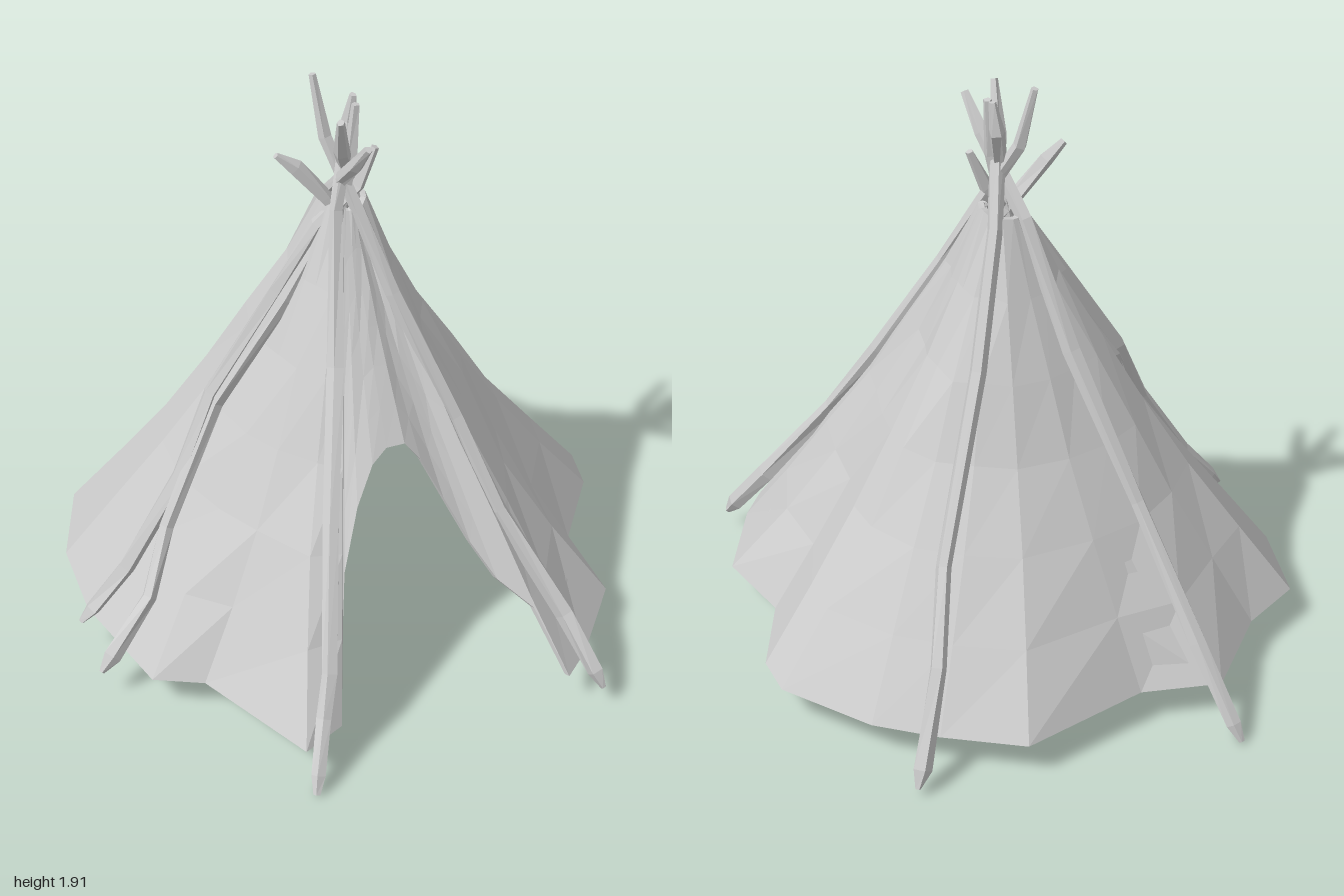
import * as THREE from 'three';

const V = (p) => new THREE.Vector3(...p);
// small repeatable variation in -1..1
const vary = (n) => { const s = Math.sin(n * 127.1 + 3.7) * 4375.85; return (s - Math.floor(s)) * 2 - 1; };

// Skin a list of closed rings that run from top to bottom
function loft(rings) {
  const n = rings[0].length, pos = [], idx = [];
  rings.forEach((ring) => ring.forEach((p) => pos.push(p.x, p.y, p.z)));
  for (let j = 0; j < rings.length - 1; j++) {
    for (let i = 0; i < n; i++) {
      const a = j * n + i, b = j * n + (i + 1) % n;
      idx.push(a, a + n, b, b, a + n, b + n);
    }
  }
  const g = new THREE.BufferGeometry();
  g.setAttribute('position', new THREE.Float32BufferAttribute(pos, 3));
  g.setIndex(idx);
  g.computeVertexNormals();
  return g;
}

// Lower edge of the cloth: wavy hem (x, z, inward sag), then the arch of the doorway (x, y, z)
const HEM = [[0.58, 0.76, 0.03], [0.66, 0.66, 0.04], [0.81, 0.38, 0.07], [0.76, 0.1, 0.06], [0.89, -0.17, 0.07],
  [0.89, -0.32, 0.06], [0.7, -0.6, 0.04], [0.53, -0.74, 0.05], [0.3, -0.89, 0.03], [-0.13, -0.78, 0.02],
  [-0.38, -0.84, 0.04], [-0.62, -0.58, 0.03], [-0.82, -0.47, 0.04], [-0.89, -0.17, 0.05], [-0.86, 0.12, 0.06],
  [-0.71, 0.5, 0.05], [-0.55, 0.55, 0.04], [-0.3, 0.92, 0.03], [-0.17, 0.83, 0.02]];
const ARCH = [[-0.13, 0.37, 0.66], [-0.11, 0.52, 0.59], [-0.05, 0.7, 0.5], [0.01, 0.81, 0.44], [0.06, 0.845, 0.41],
  [0.12, 0.845, 0.4], [0.17, 0.78, 0.41], [0.235, 0.65, 0.45], [0.31, 0.505, 0.51], [0.385, 0.39, 0.57], [0.49, 0.31, 0.64]];

function clothGeometry() {
  const hem = HEM.map(([x, z]) => V([x, 0.11, z]));
  const edge = [...HEM.map(([, , sag], i) => {
    // the waves of the hem fade out higher up
    const inner = i > 0 && i < HEM.length - 1;
    const smooth = inner ? hem[i - 1].clone().add(hem[i + 1]).multiplyScalar(0.5) : hem[i];
    return { p: hem[i], smooth, sag, bump: 0.014 };
  }), ...ARCH.map((p) => ({ p: V(p), smooth: V(p), sag: 0.015, bump: 0.005 }))];
  const ROWS = 6, THICK = 0.018;
  const ringAt = (s, inset) => edge.map(({ p, smooth, sag, bump }, i) => {
    const a = Math.atan2(p.x, p.z);
    const out = V([Math.sin(a), 0, Math.cos(a)]);
    const top = V([0.02 + 0.07 * out.x, 1.49 + 0.02 * vary(i), -0.03 + 0.07 * out.z]);
    const bulge = (bump * vary(i * 7 + s * 31) - sag) * Math.sin(Math.PI * s ** 0.9);
    const low = p.clone().lerp(smooth, 0.45 * Math.min(1, (1 - s) * 2.5));
    return top.lerp(low, s).addScaledVector(out, bulge - inset);
  });
  const steps = Array.from({ length: ROWS + 1 }, (_, j) => j / ROWS);
  // outside down to the edge, then back up the inside
  const rings = [...steps.map((s) => ringAt(s, 0)), ...steps.slice().reverse().map((s) => ringAt(s, THICK))];
  rings.push(rings[0]);
  return loft(rings);
}

// Rough five-sided pole along a bent path, thicker towards a pointed foot
function poleGeometry(path, seed) {
  const pts = path.map(V);
  const foot = pts[pts.length - 1], before = pts[pts.length - 2];
  pts.splice(-1, 0, foot.clone().lerp(before, 0.06 / foot.distanceTo(before)));
  const last = pts.length - 1;
  const section = (p, dir, r, k) => {
    const u = V([0, 0, 1]).addScaledVector(dir, -dir.z).normalize();
    const v = u.clone().cross(dir);
    return Array.from({ length: 5 }, (_, i) => {
      const a = (i / 5) * Math.PI * 2 + seed;
      const q = r * (1 + 0.2 * vary(seed * 13 + k * 5 + i));
      return p.clone().addScaledVector(u, q * Math.cos(a)).addScaledVector(v, q * Math.sin(a));
    });
  };
  const rings = pts.map((p, k) => {
    const dir = pts[Math.min(k + 1, last)].clone().sub(pts[Math.max(k - 1, 0)]).normalize();
    const r = k === 0 ? 0.012 : k === last ? 0.01 : 0.023 + 0.006 * k / last;
    return section(p, dir, r, k);
  });
  // close the ends
  const cap = (p) => Array.from({ length: 5 }, () => p.clone());
  return loft([cap(pts[0]), ...rings, cap(foot)]);
}

// Pole paths, from tip to foot
const POLES = {
  frontLeftPole: [[-0.06, 1.9, -0.1], [-0.03, 1.7, -0.06], [0.05, 1.48, 0.04], [0.14, 1.24, 0.15], [0.3, 0.86, 0.32],
    [0.41, 0.59, 0.47], [0.59, 0.27, 0.64], [0.69, 0.06, 0.78]],
  frontRightPole: [[0.05, 1.85, -0.04], [0.04, 1.75, -0.05], [-0.02, 1.5, 0.05], [-0.07, 1.08, 0.28], [-0.14, 0.68, 0.54],
    [-0.2, 0.3, 0.79], [-0.23, 0.18, 0.86], [-0.285, 0.0, 1.0]],
  backLeftPole: [[-0.02, 1.85, 0.11], [0.0, 1.7, 0.04], [0.07, 1.45, -0.1], [0.2, 1.07, -0.27], [0.42, 0.57, -0.52],
    [0.51, 0.33, -0.69], [0.645, 0.02, -0.84]],
  backRightPole: [[0.05, 1.79, 0.18], [0.03, 1.68, 0.1], [-0.03, 1.46, -0.09], [-0.11, 1.08, -0.28], [-0.22, 0.65, -0.54],
    [-0.31, 0.27, -0.81], [-0.375, 0.0, -1.0]],
  sidePole: [[0.11, 1.68, 0.0], [0.06, 1.55, 0.0], [-0.07, 1.42, 0.0], [-0.2, 1.2, 0.01], [-0.42, 0.86, 0.04],
    [-0.54, 0.6, 0.11], [-0.73, 0.3, 0.16], [-0.89, 0.12, 0.19]],
  sideFrontPole: [[0.04, 1.53, -0.03], [0.0, 1.48, -0.01], [-0.18, 1.18, 0.03], [-0.41, 0.83, 0.05], [-0.6, 0.46, 0.18],
    [-0.68, 0.28, 0.3], [-0.86, 0.1, 0.42]],
  innerPole: [[0.05, 1.84, 0.0], [0.03, 1.65, 0.01], [-0.01, 1.42, -0.02], [-0.18, 1.07, -0.04], [-0.46, 0.58, -0.05],
    [-0.76, 0.09, -0.03]],
  crossStick: [[-0.19, 1.67, -0.03], [-0.13, 1.62, -0.03], [-0.04, 1.51, -0.02], [0.03, 1.42, -0.01]],
};

export function createModel() {
  const group = new THREE.Group();
  const add = (name, geometry, side) => {
    const mesh = new THREE.Mesh(geometry, new THREE.MeshStandardMaterial({ color: 0xcccccc, flatShading: true, side }));
    mesh.name = name;
    group.add(mesh);
  };
  add('tentCloth', clothGeometry(), THREE.DoubleSide);
  Object.entries(POLES).forEach(([name, path], i) => add(name, poleGeometry(path, i + 1), THREE.FrontSide));
  return group;
}
